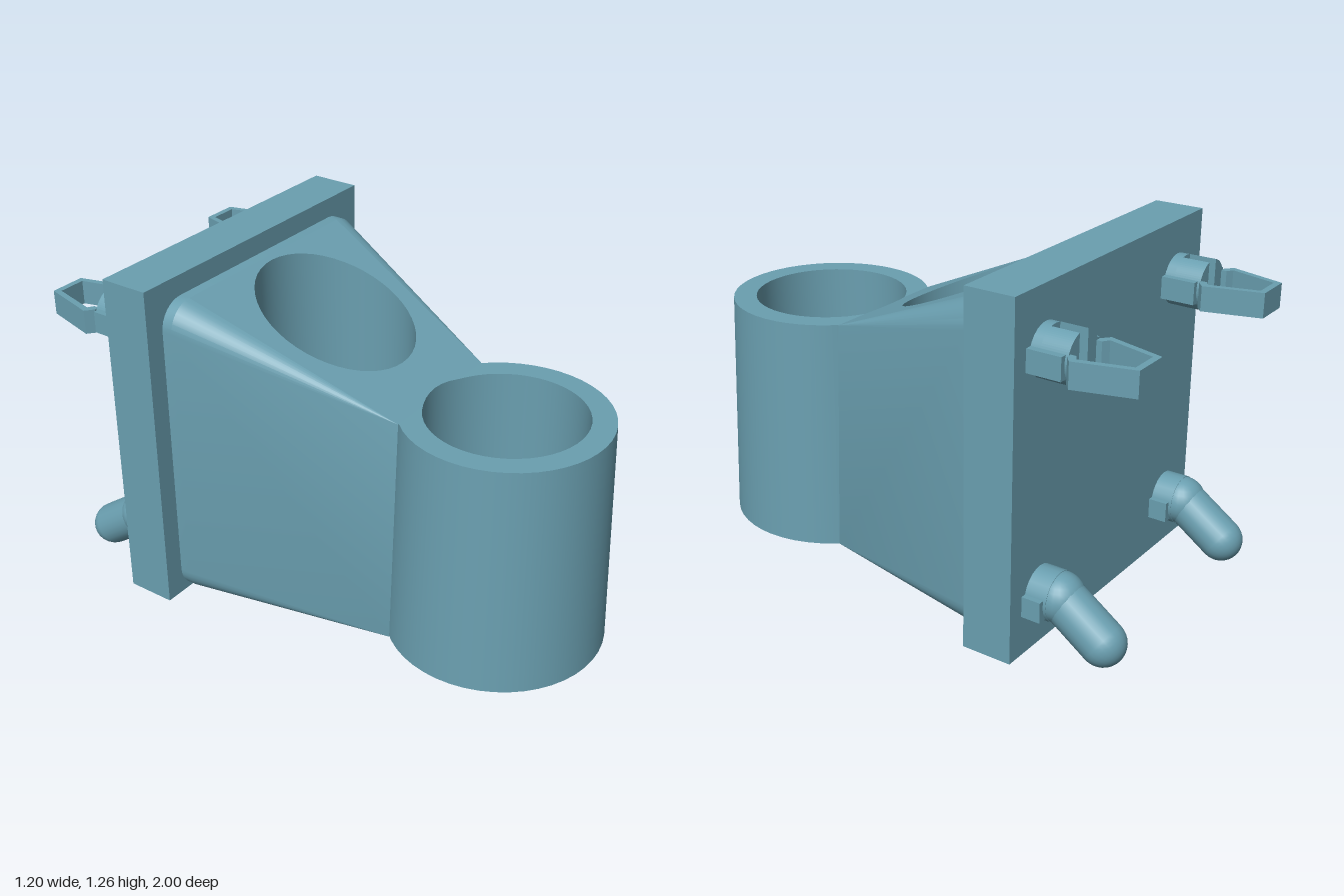
import * as THREE from 'three';
import { toCreasedNormals } from 'three/addons/utils/BufferGeometryUtils.js';

const R = 0.285;                    // bore radius, shared by both holes
const CUP_Z = 0.6, HOLE_Z = -0.105; // bore centres
const BACK = -0.45, RIM = -0.41, FRONT = 0.34;
const TOP = 1.19, CUP_H = 0.87, SEG = 48;

const topY = z => z >= FRONT ? CUP_H : CUP_H + (FRONT - z) * (TOP - CUP_H) / (FRONT - RIM);

// Circle points in plan as [x, z], angle measured from +z
const ring = (r, cz, from = 0, to = SEG) => {
  const pts = [];
  for (let i = from; i < to; i++) {
    const a = i / SEG * Math.PI * 2;
    pts.push([r * Math.sin(a), cz + r * Math.cos(a)]);
  }
  return pts;
};

// Holed plan face: side 1 looks up, side -1 looks down
function planFace(outline, hole, side, yOf) {
  const toV = ([x, z]) => new THREE.Vector2(x, -side * z);
  const shape = new THREE.Shape(outline.map(toV));
  shape.holes.push(new THREE.Path(hole.map(toV)));
  const g = new THREE.ShapeGeometry(shape).rotateX(-side * Math.PI / 2);
  const p = g.attributes.position;
  for (let i = 0; i < p.count; i++) p.setY(i, yOf(p.getZ(i)));
  g.computeVertexNormals();
  return g;
}

// Inward-facing bore wall, trimmed to the sloping top
function boreWall(cz) {
  const g = new THREE.CylinderGeometry(R, R, 1, SEG, 1, true).translate(0, 0, cz);
  const p = g.attributes.position;
  for (let i = 0; i < p.count; i++) p.setY(i, p.getY(i) > 0 ? topY(p.getZ(i)) : 0);
  g.index.array.reverse();
  g.computeVertexNormals();
  return toCreasedNormals(g, 0.6);
}

// Side skin: rounded rim at the back, tapering to the cup at the front
function bodySkin() {
  const n = 8, rc = 0.1, w = 0.525, prof = [], pos = [];
  for (let i = 0; i <= n; i++) {
    const a = -Math.PI / 2 + i / n * Math.PI / 2;
    prof.push([w - rc + rc * Math.cos(a), rc + rc * Math.sin(a)]);
  }
  for (let i = 0; i <= n; i++) {
    const a = i / n * Math.PI / 2;
    prof.push([w - rc + rc * Math.cos(a), TOP - rc + rc * Math.sin(a)]);
  }
  const tri = (a, b, c) => {
    pos.push(...a, ...b, ...c);
    for (const v of [a, c, b]) pos.push(-v[0], v[1], v[2]);
  };
  const low = [0.305, 0, FRONT], high = [0.268, CUP_H, FRONT];
  for (let i = 0; i < prof.length - 1; i++) {
    const [p, q] = [prof[i], prof[i + 1]];
    const a = [...p, BACK], b = [...q, BACK], c = [...q, RIM], d = [...p, RIM];
    tri(a, b, c);
    tri(a, c, d);
    tri(d, c, i <= n ? low : high);
    if (i === n) tri(c, high, low);
  }
  const x = w - rc;
  tri([0, TOP, BACK], [0, TOP, RIM], [x, TOP, RIM]);
  tri([0, TOP, BACK], [x, TOP, RIM], [x, TOP, BACK]);
  const g = new THREE.BufferGeometry();
  g.setAttribute('position', new THREE.Float32BufferAttribute(pos, 3));
  return toCreasedNormals(g, 0.4);
}

export function createModel() {
  const model = new THREE.Group();
  model.name = 'holder';
  const mat = new THREE.MeshStandardMaterial({ color: 0x6a9fb0 });
  const add = (parent, name, geo, x = 0, y = 0, z = 0) => {
    const m = new THREE.Mesh(geo, mat);
    m.name = name;
    m.position.set(x, y, z);
    parent.add(m);
    return m;
  };

  // Mounting plate
  add(model, 'backPlate', new THREE.BoxGeometry(1.2, 1.265, 0.185), 0, 0.6325, -0.5425);

  // Tapered body with a vertical bore
  const body = new THREE.Group();
  body.name = 'body';
  model.add(body);
  const notch = Math.sqrt(R * R - (CUP_Z - FRONT) ** 2);
  const outline = (zBack, xf) => [[-0.425, zBack], [0.425, zBack], [xf, FRONT], [notch, FRONT],
    ...ring(R, CUP_Z, 21, 28), [-notch, FRONT], [-xf, FRONT]];
  add(body, 'bodySides', bodySkin());
  add(body, 'slopingTop', planFace(outline(RIM, 0.268), ring(R, HOLE_Z), 1, topY));
  const floor = [[-0.425, BACK], [-0.425, RIM], ...outline(RIM, 0.305).slice(2).reverse(), [0.425, RIM], [0.425, BACK]];
  add(body, 'bodyBottom', planFace(floor, ring(R, HOLE_Z), -1, () => 0));
  add(body, 'bodyBore', boreWall(HOLE_Z));

  // Tapered open cup
  const cup = new THREE.Group();
  cup.name = 'cup';
  model.add(cup);
  add(cup, 'cupWall', new THREE.CylinderGeometry(0.37, 0.4, CUP_H, SEG, 1, true), 0, CUP_H / 2, CUP_Z);
  add(cup, 'cupRim', planFace(ring(0.37, CUP_Z), ring(R, CUP_Z), 1, () => CUP_H));
  add(cup, 'cupBottom', planFace(ring(0.4, CUP_Z), ring(R, CUP_Z), -1, () => 0));
  add(cup, 'cupBore', boreWall(CUP_Z));

  // Rear fasteners, both sides
  const V2 = (x, y) => new THREE.Vector2(x, y);
  const extrude = (shape, depth) =>
    new THREE.ExtrudeGeometry(shape, { depth, bevelEnabled: false, curveSegments: 16 });
  for (const s of [1, -1]) {
    // Snap clip: split stub with a hollow arrow-shaped loop
    const clip = new THREE.Group();
    clip.name = s > 0 ? 'leftClip' : 'rightClip';
    clip.position.set(s * 0.427, 1.05, -0.635);
    model.add(clip);
    add(clip, 'stubBase', new THREE.CylinderGeometry(0.092, 0.092, 0.035, 24).rotateX(Math.PI / 2), 0, 0, -0.0175);
    for (const h of [1, -1]) {
      const a = Math.acos(0.025 / 0.092);
      const half = new THREE.Shape();
      half.absarc(0, 0, 0.092, -a, a, false);
      const mesh = add(clip, 'stubHalf', extrude(half, 0.1), 0, 0, h > 0 ? -0.135 : -0.035);
      if (h < 0) mesh.rotation.y = Math.PI;
      add(clip, 'stubWing', new THREE.BoxGeometry(0.03, 0.08, 0.125), h * 0.095, -0.005, -0.0625);
    }
    // Loop drawn with y pointing backwards, extruded upwards
    const arm = [[0.068, 0.365], [0.125, 0.16], [0.095, 0.135], [0.075, 0.135], [0.075, 0.155],
      [0.098, 0.17], [0.052, 0.342]];
    const loop = new THREE.Shape([...arm.map(p => V2(...p)), ...arm.slice().reverse().map(p => V2(-p[0], p[1]))]);
    add(clip, 'snapLoop', extrude(loop, 0.09).rotateX(-Math.PI / 2), 0, -0.055, 0);

    // Hook peg: short stub bending down to a round tip
    const peg = new THREE.Group();
    peg.name = s > 0 ? 'leftPeg' : 'rightPeg';
    peg.position.set(s * 0.427, 0.2, -0.635);
    model.add(peg);
    add(peg, 'pegStub', new THREE.CylinderGeometry(0.09, 0.09, 0.08, 24).rotateX(Math.PI / 2), 0, 0, -0.04);
    add(peg, 'pegCollar', new THREE.BoxGeometry(0.215, 0.075, 0.07), 0, -0.015, -0.035);
    const elbow = new THREE.Vector3(0, 0.005, -0.08), tip = new THREE.Vector3(0, -0.113, -0.247);
    const dir = tip.clone().sub(elbow);
    const mid = elbow.clone().add(tip).multiplyScalar(0.5);
    const shaft = add(peg, 'pegShaft', new THREE.CapsuleGeometry(0.08, dir.length(), 8, 24), mid.x, mid.y, mid.z);
    shaft.quaternion.setFromUnitVectors(new THREE.Vector3(0, 1, 0), dir.normalize());
    add(peg, 'pegElbow', new THREE.SphereGeometry(0.088, 24, 16), 0, 0, -0.08);
  }
  return model;
}
